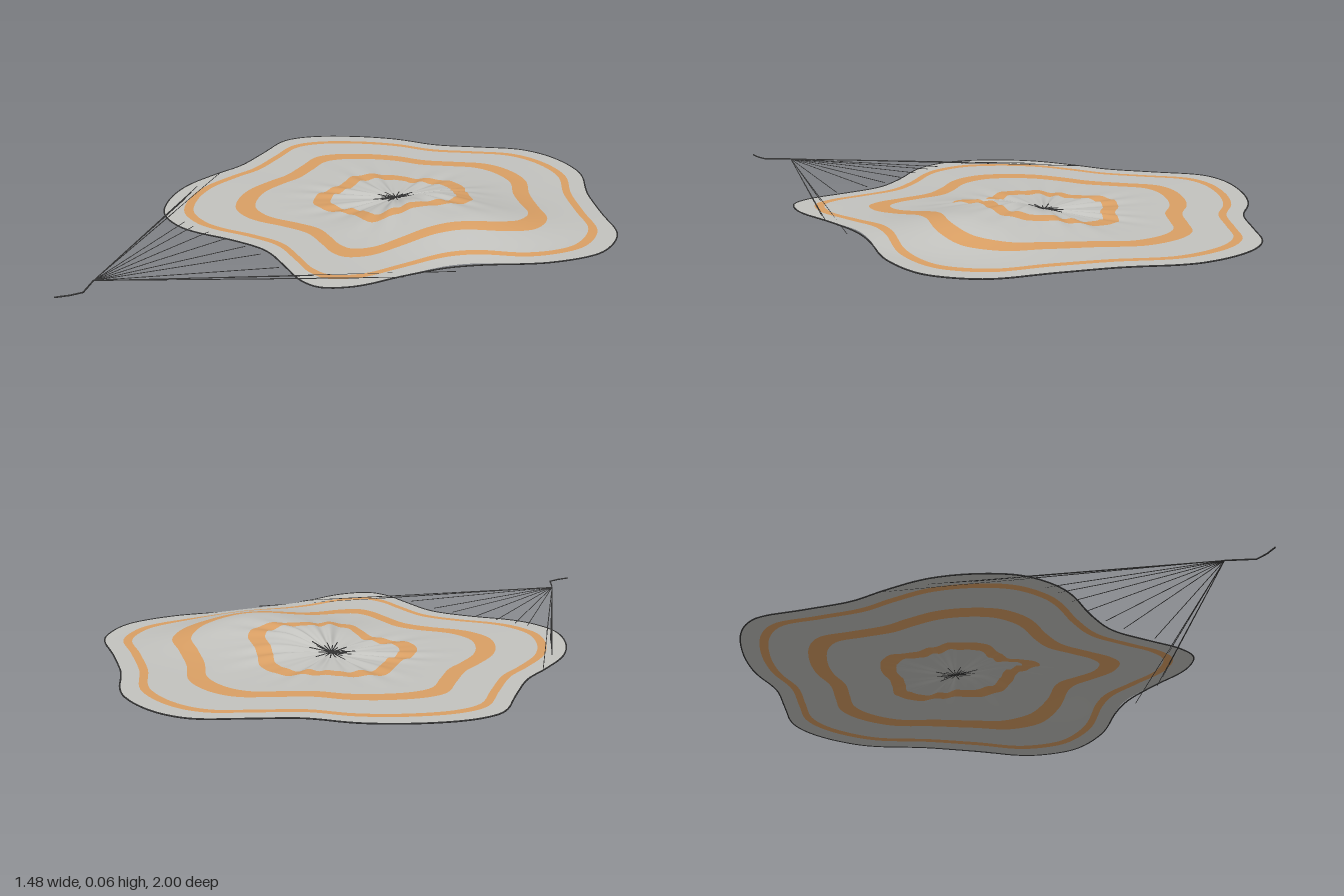
import * as THREE from 'three';

const material = (name, color, side = THREE.FrontSide) => {
  const m = new THREE.MeshStandardMaterial({ color, side });
  m.name = name;
  return m;
};

const CENTRE = { x: -0.005, z: -0.28 };

// Wavy canopy edge as x, z pairs, clockwise from the back
const EDGE = [
  [-0.015, -0.997], [0.165, -0.955], [0.335, -0.82], [0.5, -0.715],
  [0.655, -0.62], [0.725, -0.5], [0.733, -0.42], [0.69, -0.275],
  [0.59, -0.12], [0.54, -0.015], [0.51, 0.13], [0.487, 0.28],
  [0.43, 0.365], [0.35, 0.376], [0.245, 0.35], [0.1, 0.32],
  [-0.03, 0.35], [-0.155, 0.4], [-0.235, 0.413], [-0.35, 0.39],
  [-0.455, 0.305], [-0.535, 0.185], [-0.577, 0.037], [-0.6, -0.08],
  [-0.67, -0.23], [-0.735, -0.37], [-0.715, -0.47], [-0.62, -0.6],
  [-0.5, -0.7], [-0.365, -0.767], [-0.25, -0.873], [-0.14, -0.97],
];
const edgeCurve = new THREE.CatmullRomCurve3(
  EDGE.map(([x, z]) => new THREE.Vector3(x, 0, z)), true, 'centripetal');

const smooth = (a, b, v) => THREE.MathUtils.smoothstep(v, a, b);

// Cloth height: one air pocket on the left side plus shallow radial pleats
function height(x, z, t) {
  const angle = Math.atan2(z - CENTRE.z, x - CENTRE.x);
  const across = smooth(-0.04, 0.16, x) * (1 - smooth(0.34, 0.66, x)) * (0.78 + 0.5 * x);
  const pocket = 0.058 * across * Math.exp(-(((z + 0.27) / 0.23) ** 2));
  const pleat = 0.005 * smooth(0.02, 0.14, t) * (1 - smooth(0.2, 0.6, t))
    * (0.6 * Math.cos(16 * angle) + 0.4 * Math.cos(23 * angle + 1));
  return 0.003 + 0.0055 * (1 - t) + pocket + pleat;
}

// Point on the cloth at fraction t of the way from the centre to the edge
function clothPoint(edge, t, lift = 0) {
  const x = THREE.MathUtils.lerp(CENTRE.x, edge.x, t);
  const z = THREE.MathUtils.lerp(CENTRE.z, edge.z, t);
  return new THREE.Vector3(x, height(x, z, t) + lift, z);
}

// Canopy as concentric rings, with a material group for each coloured band
function canopyGeometry() {
  const N = 240;
  const bands = [0.006, 0.285, 0.36, 0.61, 0.695, 0.875, 0.915, 1];
  const steps = [14, 4, 10, 4, 8, 2, 4];
  const edges = Array.from({ length: N }, (_, i) => edgeCurve.getPoint(i / N));
  const positions = [], indices = [];
  const geo = new THREE.BufferGeometry();
  const addRing = (t) => edges.forEach((e) => positions.push(...clothPoint(e, t).toArray()));
  let ring = 0;
  addRing(bands[0]);
  steps.forEach((count, b) => {
    const start = indices.length;
    for (let s = 1; s <= count; s++) {
      addRing(THREE.MathUtils.lerp(bands[b], bands[b + 1], s / count));
      for (let i = 0; i < N; i++) {
        const j = (i + 1) % N, p = ring * N, q = p + N;
        indices.push(p + i, p + j, q + i, p + j, q + j, q + i);
      }
      ring++;
    }
    geo.addGroup(start, indices.length - start, b % 2);
  });
  geo.setAttribute('position', new THREE.Float32BufferAttribute(positions, 3));
  geo.setIndex(indices);
  geo.computeVertexNormals();
  return geo;
}

export function createModel() {
  const model = new THREE.Group();
  model.name = 'parachute';
  const cloth = material('grey cloth', 0xc2c2be, THREE.DoubleSide);
  const stripe = material('orange stripe', 0xd99f64, THREE.DoubleSide);
  const cord = material('dark cord', 0x333333);

  const add = (name, geo, mat, parent = model) => {
    const mesh = new THREE.Mesh(geo, mat);
    mesh.name = name;
    parent.add(mesh);
    return mesh;
  };
  const addCord = (name, points, radius, parent) => {
    const path = new THREE.CurvePath();
    for (let i = 1; i < points.length; i++) path.add(new THREE.LineCurve3(points[i - 1], points[i]));
    add(name, new THREE.TubeGeometry(path, (points.length - 1) * 2, radius, 5), cord, parent);
  };

  add('canopy', canopyGeometry(), [cloth, stripe]);

  // Dark hem around the edge
  const hemCurve = new THREE.CatmullRomCurve3(
    edgeCurve.getPoints(96).slice(0, -1).map((p) => p.setY(0.003)), true);
  add('hem', new THREE.TubeGeometry(hemCurve, 240, 0.0025, 5, true), cord);

  // Gathered cords at the crown
  const crown = new THREE.Group();
  crown.name = 'crownCords';
  model.add(crown);
  for (let i = 0; i < 20; i++) {
    const edge = edgeCurve.getPoint(i / 20);
    const length = i % 2 ? 0.065 : 0.1;
    const points = [0.004, 0.3, 0.65, 1].map((k) => clothPoint(edge, k * length, 0.0005));
    addCord('crownCord', points, 0.0018, crown);
  }

  // Suspension lines fanning from the confluence to the canopy
  const lines = new THREE.Group();
  lines.name = 'suspensionLines';
  model.add(lines);
  const knot = new THREE.Vector3(-0.005, 0.004, 0.85);
  const ends = [
    [-0.58, 0.02], [-0.51, 0.16], [-0.47, 0.21], [-0.43, 0.26], [-0.35, 0.35],
    [-0.25, 0.38], [-0.2, 0.38], [-0.13, 0.37], [-0.05, 0.36], [0.04, 0.35],
    [0.12, 0.35], [0.24, 0.37], [0.35, 0.33], [0.42, 0.27], [0.48, 0.19],
    [0.52, 0.13], [0.58, -0.02],
  ];
  for (const [x, z] of ends) {
    addCord('suspensionLine', [knot, new THREE.Vector3(x, 0.004, z)], 0.0012, lines);
  }

  // Bent riser trailing from the confluence
  addCord('riser', [knot, new THREE.Vector3(0.06, 0.004, 0.925), new THREE.Vector3(0.035, 0.004, 1)], 0.0025);

  return model;
}
